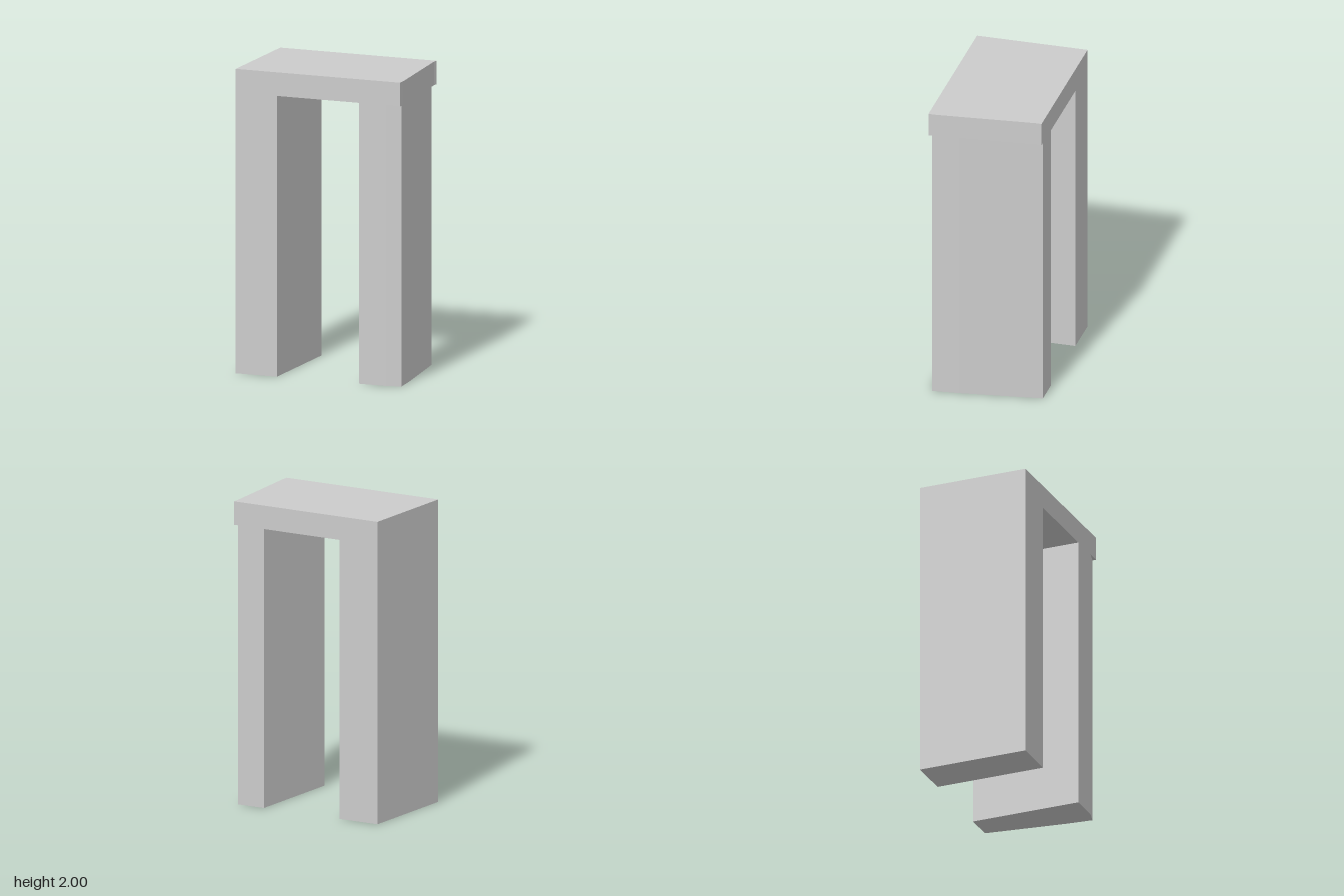
import * as THREE from 'three';

const material = new THREE.MeshStandardMaterial({ color: 0xcccccc, flatShading: true });

// Raises a floor plan of [x, z] corners from y0 to y1.
function prism(name, plan, y0, y1) {
  const shape = new THREE.Shape(plan.map(([x, z]) => new THREE.Vector2(x, -z)));
  const geometry = new THREE.ExtrudeGeometry(shape, { depth: y1 - y0, bevelEnabled: false });
  geometry.rotateX(-Math.PI / 2);
  geometry.translate(0, y0, 0);
  const mesh = new THREE.Mesh(geometry, material);
  mesh.name = name;
  return mesh;
}

export function createModel() {
  const group = new THREE.Group();
  group.name = 'archway';
  const W = 0.574, D = 0.37, inner = 0.287, spring = 1.845, top = 2;

  // Plain rectangular pillar
  group.add(prism('rightPillar', [[-W, D], [-inner, D], [-inner, -D], [-W, -D]], 0, spring));

  // Pillar with a chamfered front corner and a slanting outer side
  group.add(prism('leftPillar', [
    [inner, D], [0.48, D], [W, 0.345], [0.557, 0.17], [0.482, -D], [inner, -D],
  ], 0, spring));

  // Beam across both pillars, with its outer end cut at a slant
  group.add(prism('lintel', [
    [-W, D], [W, D], [W, 0.32], [0.512, -0.34], [0.515, -D], [-W, -D],
  ], spring, top));

  return group;
}
